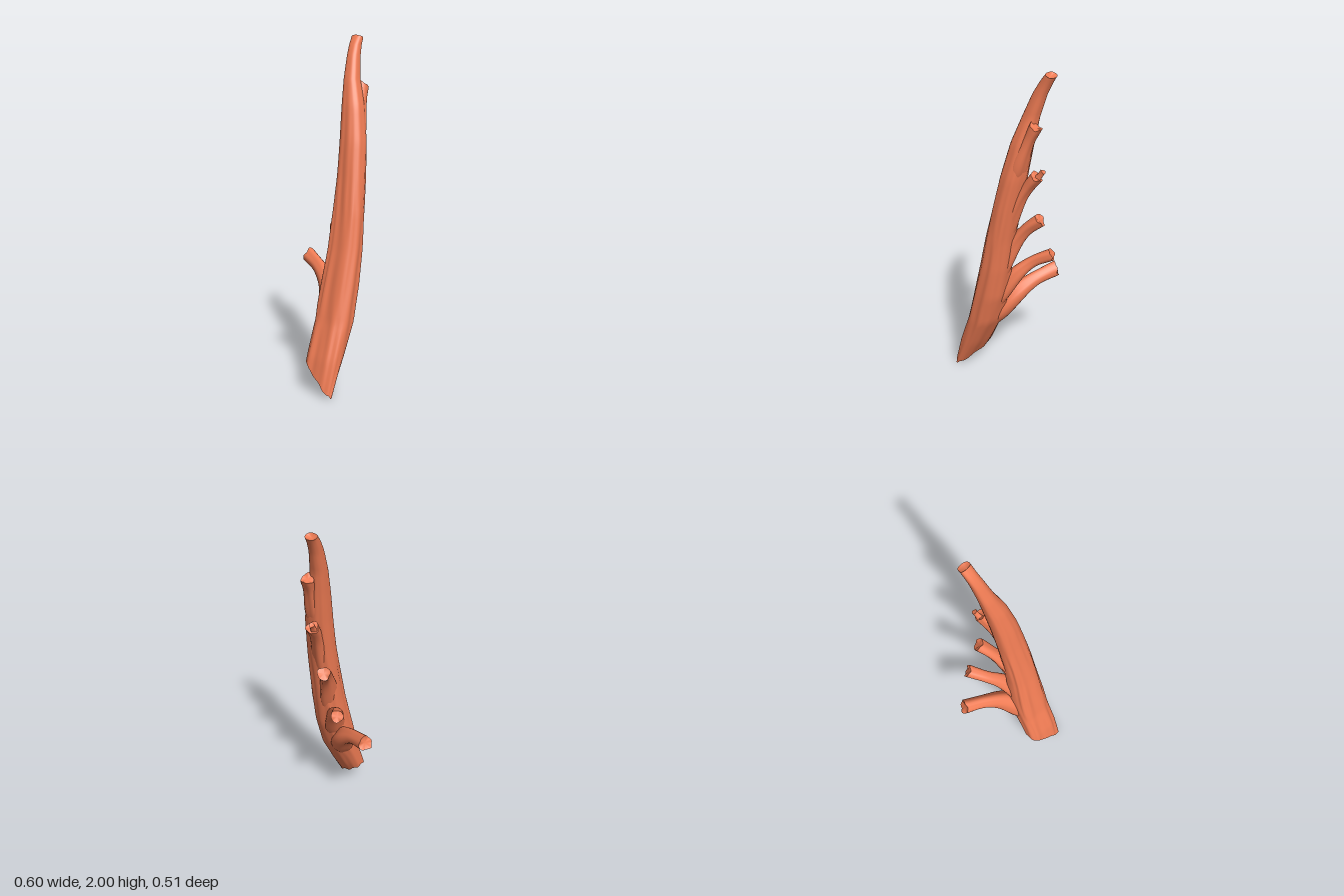
import * as THREE from 'three';

const SIDES = 56;
const bark = new THREE.MeshStandardMaterial({ color: 0xf07c54, side: THREE.DoubleSide });

// Skins a stack of rings, then closes both ends with hollowed caps that have a crisp rim.
function loft(name, rings, hollow) {
  const n = rings[0].length, pos = [], idx = [];
  rings.forEach(r => r.forEach(p => pos.push(p.x, p.y, p.z)));
  for (let i = 0; i < rings.length - 1; i++) {
    for (let j = 0; j < n; j++) {
      const k = (j + 1) % n, a = i * n + j, b = i * n + k;
      idx.push(a, a + n, b, b, a + n, b + n);
    }
  }
  const mid = r => r.reduce((s, p) => s.add(p), new THREE.Vector3()).divideScalar(n);
  const cap = (rim, next, flip) => {
    const start = pos.length / 3, c = mid(rim);
    c.add(mid(next).sub(c).setLength(hollow));
    rim.forEach(p => pos.push(p.x, p.y, p.z));
    pos.push(c.x, c.y, c.z);
    for (let j = 0; j < n; j++) {
      const a = start + j, b = start + (j + 1) % n;
      if (flip) idx.push(a, b, start + n);
      else idx.push(b, a, start + n);
    }
  };
  cap(rings[0], rings[1], true);
  cap(rings.at(-1), rings.at(-2), false);
  const g = new THREE.BufferGeometry();
  g.setAttribute('position', new THREE.Float32BufferAttribute(pos, 3));
  g.setIndex(idx);
  g.computeVertexNormals();
  const mesh = new THREE.Mesh(g, bark);
  mesh.name = name;
  return mesh;
}

// Trunk outline: height, x min, x max, z min, z max
const OUTLINE = [
  [0.00, -0.315, -0.245, 0.03, 0.25],
  [0.20, -0.268, -0.125, 0.03, 0.253],
  [0.40, -0.20, -0.02, 0.03, 0.253],
  [0.60, -0.147, 0.04, 0.038, 0.248],
  [0.80, -0.094, 0.075, 0.046, 0.239],
  [1.00, -0.047, 0.102, 0.047, 0.227],
  [1.20, -0.002, 0.137, 0.042, 0.208],
  [1.40, 0.038, 0.175, 0.032, 0.183],
  [1.60, 0.083, 0.202, 0.016, 0.142],
  [1.75, 0.128, 0.22, 0.002, 0.092],
  [1.88, 0.178, 0.255, -0.01, 0.062],
  [1.95, 0.217, 0.285, -0.02, 0.047],
  [2.00, 0.255, 0.312, -0.027, 0.042],
];
function outline(y) {
  let i = 0;
  while (i < OUTLINE.length - 2 && OUTLINE[i + 1][0] < y) i++;
  const a = OUTLINE[i], b = OUTLINE[i + 1];
  const t = THREE.MathUtils.clamp((y - a[0]) / (b[0] - a[0]), 0, 1);
  return a.map((v, k) => v + (b[k] - v) * t);
}

// Grooved, slightly twisting trunk with a slanting break at the foot
function makeTrunk() {
  const rings = [], STEPS = 72;
  const pow = (v, e) => Math.sign(v) * Math.abs(v) ** e;
  for (let i = 0; i <= STEPS; i++) {
    const h = 2 * i / STEPS, ring = [];
    const slant = 0.8 * Math.max(0, 1 - h / 0.8);
    const fade = Math.min(1, (2.1 - h) / 1.2);
    const [, , , z0, z1] = outline(h);
    for (let j = 0; j < SIDES; j++) {
      const a = j / SIDES * Math.PI * 2, c = Math.cos(a), s = Math.sin(a);
      // long splits and a shallow hollow run up the outer side
      const split = 0.05 * Math.max(0, Math.cos(a - 3.5)) ** 2 * Math.abs(Math.sin(6 * a + 0.6 * h));
      const hollow = 0.13 * Math.exp(-(((a - 3.2) / 0.45) ** 2)) * THREE.MathUtils.smoothstep(1.5 - h, 0, 0.6);
      const groove = 1 - fade * (0.02 + split
        + 0.035 * Math.sin(7 * a + 2 * h) * Math.cos(2.3 * h + a)
        + 0.02 * Math.sin(11 * a - 3 * h + Math.sin(9 * h)));
      const z = (z0 + z1) / 2 + pow(s, 0.85) * (z1 - z0) / 2 * groove;
      let y = h + slant * Math.max(0, 0.25 - z);
      if (i === 0) y += 0.006 * (1 + Math.sin(7 * a));
      if (i === STEPS) y -= 0.01 * (1 + c);
      const [, x0, x1] = outline(y);
      const side = pow(c, c < 0 && s < 0 ? 0.65 : 0.85);
      ring.push(new THREE.Vector3((x0 + x1) / 2 + side * (x1 - x0) / 2 * (groove - hollow), y, z));
    }
    rings.push(ring);
  }
  return loft('trunk', rings, 0.02);
}

// Broken branch: grows out of the trunk's core, swells where it leaves it, ends in a ragged rim
function makeBranch(name, path, r, swell, seed) {
  const curve = new THREE.CatmullRomCurve3(path.map(p => new THREE.Vector3(...p)));
  const STEPS = 28, frames = curve.computeFrenetFrames(STEPS), rings = [];
  const { smoothstep } = THREE.MathUtils;
  for (let i = 0; i <= STEPS; i++) {
    const t = i / STEPS, p = curve.getPointAt(t), ring = [];
    const size = r * (0.5 + (swell - 0.5) * smoothstep(t, 0, 0.4) - (swell - 1) * smoothstep(t, 0.4, 0.85)
      + 0.08 * smoothstep(t, 0.85, 1));
    for (let j = 0; j < 24; j++) {
      const a = j / 24 * Math.PI * 2;
      const w = size * (1 + 0.08 * Math.sin(3 * a + seed + 2 * t) + 0.04 * Math.sin(5 * a + seed * 2 - t));
      const q = p.clone()
        .addScaledVector(frames.normals[i], Math.cos(a) * w)
        .addScaledVector(frames.binormals[i], -Math.sin(a) * w);
      if (i === STEPS) {
        q.addScaledVector(frames.tangents[i], r * 0.2 * (Math.sin(2 * a + seed) + 0.5 * Math.sin(5 * a + seed)));
      }
      ring.push(q);
    }
    rings.push(ring);
  }
  return loft(name, rings, r * 0.25);
}

export function createModel() {
  const group = new THREE.Group();
  group.name = 'brokenBranch';
  group.add(makeTrunk());
  const branches = [
    ['lowestBranch', [[-0.17, 0.22, 0.12], [-0.077, 0.41, 0.09], [0.005, 0.55, 0.01], [0.058, 0.635, -0.095], [0.112, 0.685, -0.225]], 0.04, 1.65, 1],
    ['lowerBranch', [[-0.12, 0.36, 0.15], [-0.025, 0.58, 0.11], [0.055, 0.73, 0.045], [0.12, 0.815, -0.025], [0.208, 0.873, -0.093]], 0.033, 1.75, 2.2],
    ['middleBranch', [[-0.07, 0.55, 0.16], [0.015, 0.81, 0.12], [0.09, 0.985, 0.068], [0.145, 1.068, 0.035], [0.205, 1.128, 0]], 0.035, 1.65, 3.1],
    ['upperBranch', [[0.01, 0.86, 0.14], [0.075, 1.11, 0.12], [0.14, 1.275, 0.092], [0.185, 1.355, 0.072], [0.23, 1.42, 0.055]], 0.033, 1.5, 4.3],
    ['upperSplinter', [[0.2, 1.36, 0.06], [0.23, 1.41, 0.045], [0.257, 1.455, 0.035]], 0.014, 1.3, 0.6],
    ['topStub', [[0.09, 1.27, 0.12], [0.14, 1.46, 0.112], [0.192, 1.61, 0.093], [0.238, 1.715, 0.073]], 0.032, 1.5, 5.2],
  ];
  branches.forEach(b => group.add(makeBranch(...b)));
  return group;
}
